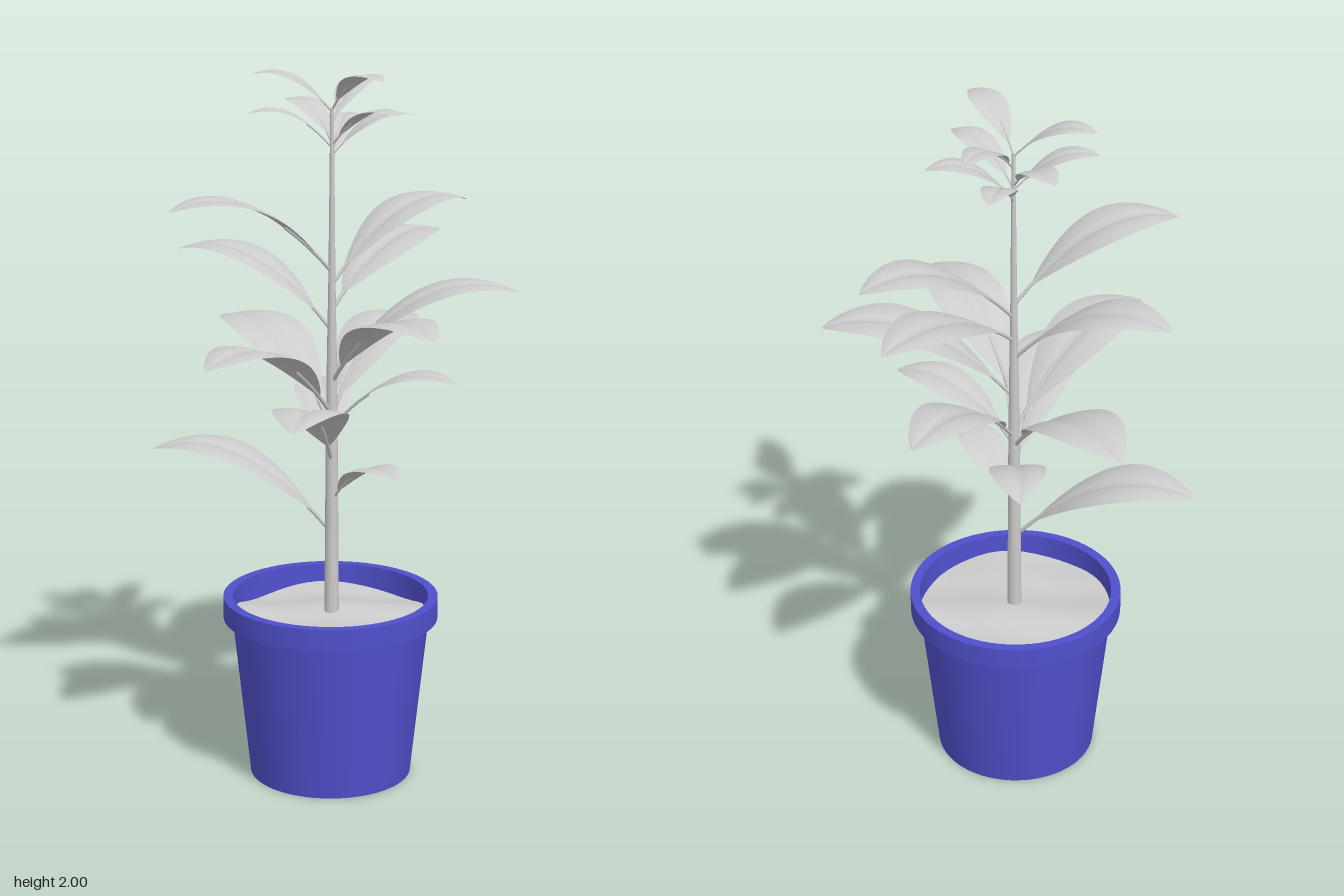
import * as THREE from 'three';
import { toCreasedNormals } from 'three/addons/utils/BufferGeometryUtils.js';
import { ParametricGeometry } from 'three/addons/geometries/ParametricGeometry.js';

const STEM = { x: 0.01, z: 0.02 };
const plantMat = new THREE.MeshStandardMaterial({ color: 0xcccccc });
const leafMat = new THREE.MeshStandardMaterial({ color: 0xcccccc, side: THREE.DoubleSide });
const potMat = new THREE.MeshStandardMaterial({ color: 0x5050cc });

// One entry per leaf: tip x, tip z, height of the arch's crest, optional rise above the node
const LEAVES = [
  // lower and middle leaves
  [-0.225, -0.44, 0.94], [-0.07, 0.31, 0.935], [0.275, -0.25, 1.07],
  [-0.43, 0.235, 1.135], [0.12, 0.365, 1.175], [0.155, -0.495, 1.25],
  [0.485, -0.06, 1.255], [-0.51, 0.01, 1.285], [-0.16, 0.49, 1.365],
  [0.365, 0.4, 1.4], [-0.12, -0.425, 1.495], [0.505, 0.02, 1.508, 0.17],
  [0.45, 0.155, 1.62], [-0.395, -0.21, 1.66],
  // small crown leaves
  [0.21, -0.08, 1.855], [0.195, 0.16, 1.872], [0.005, 0.25, 1.898],
  [-0.15, -0.14, 1.89], [0.08, -0.19, 1.9],
  [0.235, -0.015, 1.953], [-0.09, -0.18, 1.985], [-0.06, 0.24, 1.995],
];

function mesh(name, geometry, material) {
  const m = new THREE.Mesh(geometry, material);
  m.name = name;
  return m;
}

function lathe(points, segments) {
  return new THREE.LatheGeometry(points.map(([r, y]) => new THREE.Vector2(r, y)), segments);
}

// Arched blade with a creased midrib, on a thin stalk
function makeLeaf([tipX, tipZ, crest, riseOverride]) {
  const dx = tipX - STEM.x, dz = tipZ - STEM.z;
  const length = Math.hypot(dx, dz);
  const rise = riseOverride ?? length * 0.46;
  const halfWidth = length * 0.205;
  const spine = (t) => new THREE.Vector3(
    STEM.x + dx * t,
    crest - rise * ((t - 0.77) / 0.77) ** 2,
    STEM.z + dz * t);

  const bladeStart = 0.1;
  const blade = new ParametricGeometry((u, v, target) => {
    const t = bladeStart + (1 - bladeStart) * u;
    const w = halfWidth * Math.pow(Math.max(0, Math.sin(Math.PI * Math.pow(u, 1.05))), 0.8);
    const side = v * 2 - 1, a = Math.abs(side);
    target.copy(spine(t));
    target.x += (dz / length) * w * side;
    target.z -= (dx / length) * w * side;
    // dips at the midrib, rounds over towards the edges
    target.y += w * (0.22 * Math.sqrt(a) - 0.17 * a * a);
  }, 24, 12);
  blade.computeVertexNormals();

  const stalkCurve = new THREE.CatmullRomCurve3([0, 0.07, 0.14, 0.22, 0.3].map((t) => spine(t)));
  const stalk = new THREE.TubeGeometry(stalkCurve, 8, length * 0.011, 6);

  const leaf = new THREE.Group();
  leaf.name = 'leaf';
  leaf.add(mesh('leafBlade', blade, leafMat), mesh('leafStalk', stalk, plantMat));
  return leaf;
}

// Gently uneven disc of earth
function makeSoil() {
  const geo = new THREE.RingGeometry(0.001, 0.272, 48, 8);
  geo.rotateX(-Math.PI / 2);
  const p = geo.attributes.position;
  for (let i = 0; i < p.count; i++) {
    const x = p.getX(i), z = p.getZ(i);
    p.setY(i, 0.012 * Math.sin(x * 13 + 1) * Math.cos(z * 11) + 0.004 * Math.sin(x * 24 - z * 19));
  }
  geo.computeVertexNormals();
  return mesh('soil', geo, plantMat);
}

export function createModel() {
  const model = new THREE.Group();
  model.name = 'pottedPlant';

  // Tapered pot with a thick rim, hollow above the soil
  const potProfile = [
    [0, 0], [0.228, 0], [0.277, 0.46], [0.302, 0.46], [0.302, 0.522],
    [0.275, 0.522], [0.27, 0.4], [0, 0.4],
  ];
  const pot = mesh('pot', toCreasedNormals(lathe(potProfile, 64), 0.6), potMat);
  pot.position.set(0.005, 0, 0.02);

  const soil = makeSoil();
  soil.position.set(0.005, 0.465, 0.02);

  // Slender tapering stem
  const stemProfile = [
    [0.021, 0.42], [0.019, 0.7], [0.017, 0.95], [0.014, 1.2],
    [0.01, 1.42], [0.007, 1.7], [0.005, 1.89], [0, 1.895],
  ];
  const stem = mesh('stem', lathe(stemProfile, 12), plantMat);
  stem.position.set(STEM.x, 0, STEM.z);

  const foliage = new THREE.Group();
  foliage.name = 'foliage';
  LEAVES.forEach((data) => foliage.add(makeLeaf(data)));

  model.add(pot, soil, stem, foliage);
  return model;
}
